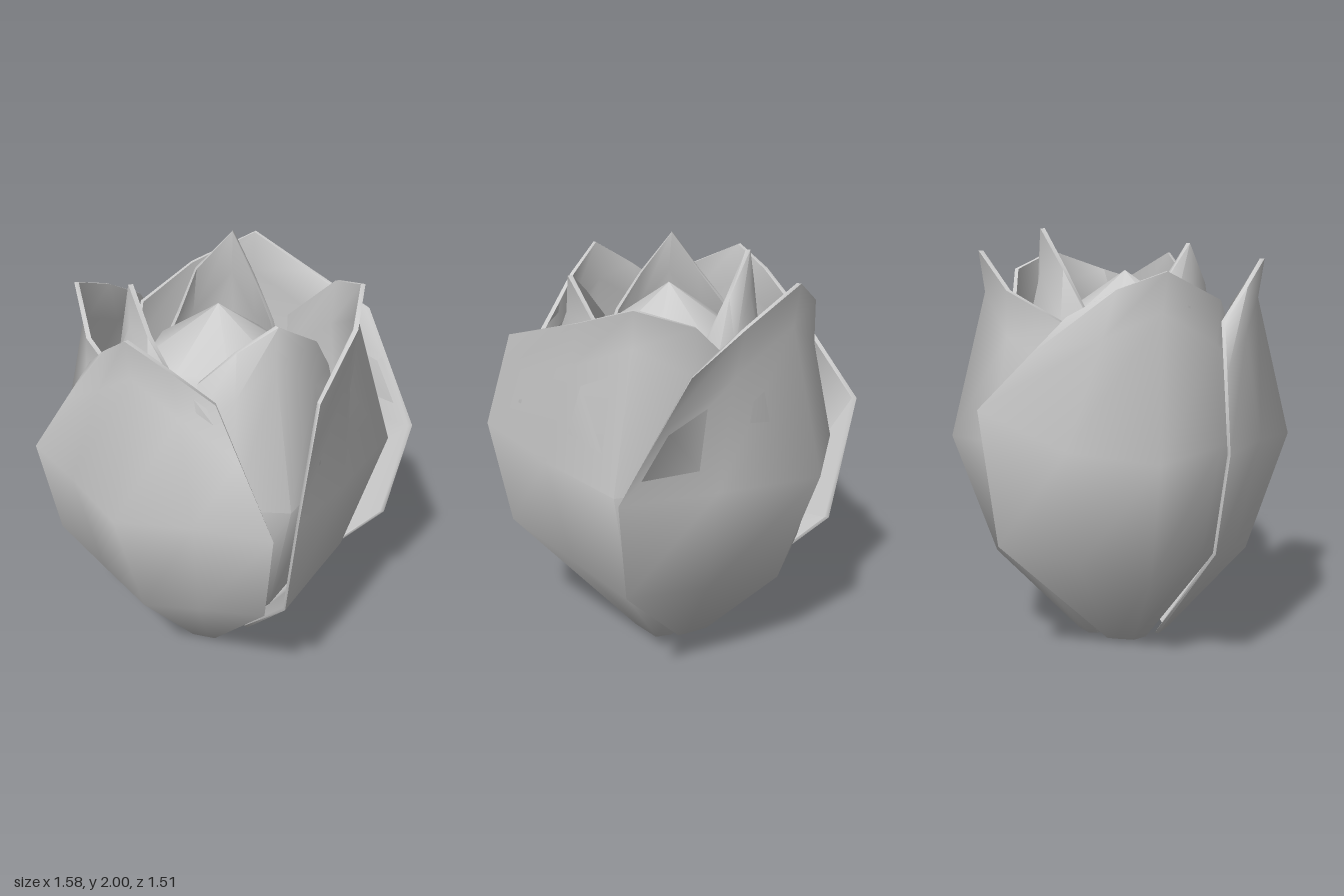
import * as THREE from 'three';
import { toCreasedNormals } from 'three/addons/utils/BufferGeometryUtils.js';

const material = new THREE.MeshStandardMaterial({ color: 0xcccccc, side: THREE.DoubleSide });
const THICKNESS = 0.022;
const { lerp } = THREE.MathUtils;

// One petal column: base, lower bend, belly, upper bend and rim.
// edge runs from 0 on the middle column to 1 on the side edges.
function column([bx, bz, tx, ty, tz, belly = 1.07], [mx, mz], edge, base) {
  const low = lerp(0.76, 0.89, edge), lowY = lerp(0.45, 0.6, edge);
  const up = lerp(0.78, 0.6, edge), curl = lerp(0.92, 1.0, edge);
  const pinch = 0.42 * edge;
  return [
    [lerp(bx, mx, pinch) * base, 0.02, lerp(bz, mz, pinch) * base],
    [bx * low, lowY, bz * low],
    [bx, belly, bz],
    [lerp(bx, tx, up) * curl, lerp(belly, ty, up), lerp(bz, tz, up) * curl],
    [tx, ty, tz],
  ];
}

// Thin closed shell: each row is a loop along the outside and back along the inside
function petalGeometry(columns, base) {
  const n = columns.length, ring = 2 * n, half = (n - 1) / 2;
  const cols = columns.map((c, j) => column(c, columns[half], Math.abs(j - half) / half, base));
  const rows = cols[0].length;
  const positions = [], index = [];
  const inner = ([x, y, z]) => {
    const k = 1 - THICKNESS / Math.max(Math.hypot(x, z), 0.1);
    return [x * k, y, z * k];
  };
  for (let i = 0; i < rows; i++) {
    for (let j = 0; j < n; j++) positions.push(...cols[j][i]);
    for (let j = n - 1; j >= 0; j--) positions.push(...inner(cols[j][i]));
  }
  const quad = (a, b, c, d) => index.push(a, b, c, a, c, d);
  for (let i = 0; i < rows - 1; i++) {
    for (let j = 0; j < ring; j++) {
      const k = (j + 1) % ring;
      quad(i * ring + j, i * ring + k, (i + 1) * ring + k, (i + 1) * ring + j);
    }
  }
  // rim and base strips
  const top = (rows - 1) * ring;
  for (let j = 0; j < n - 1; j++) {
    quad(top + j, top + j + 1, top + ring - 2 - j, top + ring - 1 - j);
    quad(j + 1, j, ring - 1 - j, ring - 2 - j);
  }
  const g = new THREE.BufferGeometry();
  g.setAttribute('position', new THREE.Float32BufferAttribute(positions, 3));
  g.setIndex(index);
  return toCreasedNormals(g, 1.2);
}

// Each column: belly x, z, then rim x, y, z, and a belly height where it differs
const outerPetals = {
  frontOuterPetal: [
    [-0.45, 0.75, -0.25, 1.61, 0.71, 1.12],
    [0.02, 0.7, 0.2, 1.76, 0.62],
    [0.52, 0.65, 0.46, 1.86, 0.5],
    [0.64, 0.3, 0.6, 1.78, 0.28],
    [0.61, 0.0, 0.57, 1.55, 0.03],
  ],
  leftOuterPetal: [
    [0.65, 0.71, 0.72, 1.62, 0.39, 1.1],
    [0.73, 0.25, 0.68, 1.76, 0.08],
    [0.79, -0.28, 0.65, 1.9, -0.24, 1.03],
    [0.52, -0.58, 0.46, 1.74, -0.5],
    [0.15, -0.68, 0.17, 1.6, -0.6],
  ],
  backOuterPetal: [
    [0.55, -0.71, 0.17, 1.64, -0.62, 1.24],
    [0.15, -0.745, -0.05, 1.76, -0.63],
    [-0.26, -0.76, -0.27, 1.84, -0.63, 1.03],
    [-0.5, -0.52, -0.48, 1.7, -0.38],
    [-0.62, -0.2, -0.52, 1.5, -0.1],
  ],
  rightOuterPetal: [
    [-0.55, -0.69, -0.5, 1.6, -0.35],
    [-0.67, -0.35, -0.59, 1.74, -0.18],
    [-0.79, 0, -0.66, 1.86, 0, 1.03],
    [-0.67, 0.35, -0.59, 1.74, 0.18],
    [-0.55, 0.69, -0.5, 1.6, 0.35],
  ],
};

const innerPetals = {
  leftInnerPetal: [
    [0.54, 0.1, 0.37, 1.6, 0.06],
    [0.56, -0.1, 0.38, 1.8, -0.06],
    [0.53, -0.27, 0.37, 2.0, -0.18],
    [0.3, -0.45, 0.24, 1.82, -0.31],
    [0.05, -0.56, 0.13, 1.62, -0.34],
  ],
  backInnerPetal: [
    [-0.12, -0.6, -0.1, 1.6, -0.42],
    [-0.35, -0.55, -0.22, 1.76, -0.34],
    [-0.53, -0.3, -0.33, 1.94, -0.25],
    [-0.55, -0.05, -0.39, 1.75, -0.1],
    [-0.48, 0.18, -0.4, 1.58, 0.04],
  ],
  frontInnerPetal: [
    [-0.53, 0.18, -0.36, 1.58, 0.15],
    [-0.45, 0.42, -0.28, 1.74, 0.3],
    [-0.32, 0.63, -0.17, 1.86, 0.44],
    [0.0, 0.6, 0.1, 1.7, 0.47],
    [0.35, 0.5, 0.25, 1.52, 0.45],
  ],
};

export function createModel() {
  const group = new THREE.Group();
  group.name = 'rosebud';

  const addPetals = (petals, base) => {
    for (const [name, columns] of Object.entries(petals)) {
      const mesh = new THREE.Mesh(petalGeometry(columns, base), material);
      mesh.name = name;
      group.add(mesh);
    }
  };
  addPetals(outerPetals, 0.28);
  addPetals(innerPetals, 0.2);

  // Closed heart of the flower with a pointed top
  const profile = [[0, 0], [0.1, 0.02], [0.34, 0.5], [0.45, 1.0], [0.41, 1.4], [0.33, 1.57], [0, 1.8]]
    .map(([r, y]) => new THREE.Vector2(r, y));
  const heart = new THREE.Mesh(new THREE.LatheGeometry(profile, 8), material);
  heart.name = 'heart';
  group.add(heart);

  return group;
}
